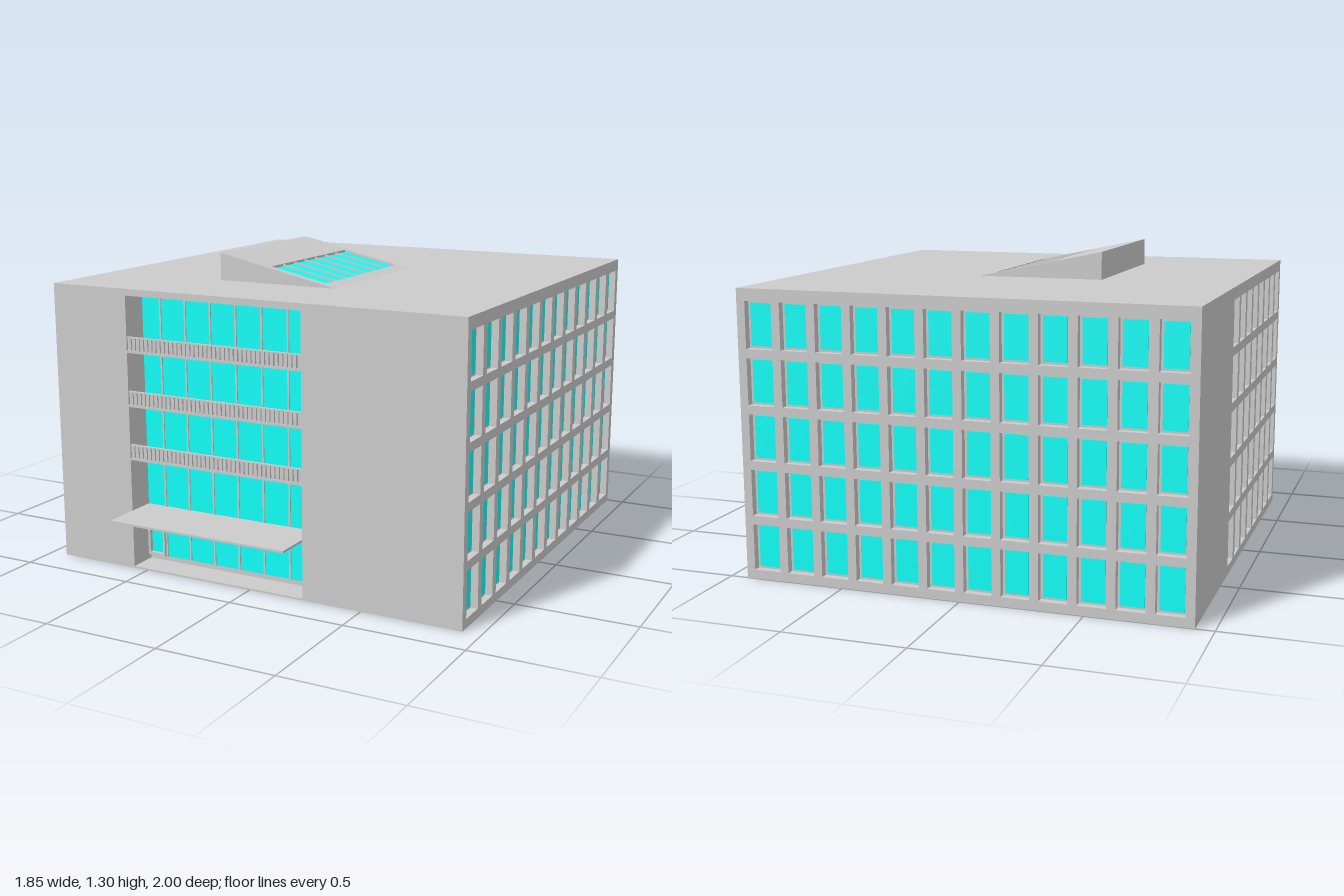
import * as THREE from 'three';
import { mergeGeometries } from 'three/addons/utils/BufferGeometryUtils.js';

const grey = new THREE.MeshStandardMaterial({ color: 0xcccccc });
const cyan = new THREE.MeshStandardMaterial({ color: 0x10fff8 });

const W = 0.925, H = 1.185, BACK = -1, FRONT = 0.85;
const T = 0.03;                       // depth of the window reveals
const X0 = -0.565, X1 = 0.245;        // front recess
const GLASS_Z = 0.73, RECESS_TOP = 1.157;

// Box given by its limits
function box(x0, x1, y0, y1, z0, z1) {
  return new THREE.BoxGeometry(x1 - x0, y1 - y0, z1 - z0)
    .translate((x0 + x1) / 2, (y0 + y1) / 2, (z0 + z1) / 2);
}

function part(parent, name, geometries, material = grey) {
  const mesh = new THREE.Mesh(mergeGeometries(geometries), material);
  mesh.name = name;
  parent.add(mesh);
  return mesh;
}

// Wall pierced by a grid of windows, facing local +z
function windowWall(name, width, firstColumn) {
  const wall = new THREE.Group();
  wall.name = name;
  const shape = new THREE.Shape([
    new THREE.Vector2(-width / 2, 0), new THREE.Vector2(width / 2, 0),
    new THREE.Vector2(width / 2, H), new THREE.Vector2(-width / 2, H),
  ]);
  const panes = [];
  for (let c = firstColumn; c < 12; c++) {
    for (let r = 0; r < 5; r++) {
      const u = -0.832 + c * 0.1513, v = 0.038 + r * 0.2267;
      const a = u - 0.0575, b = u + 0.0575, top = v + 0.19;
      shape.holes.push(new THREE.Path([
        new THREE.Vector2(a, v), new THREE.Vector2(a, top),
        new THREE.Vector2(b, top), new THREE.Vector2(b, v),
      ]));
      panes.push(box(a + 0.01, b - 0.01, v + 0.009, top - 0.009, -0.005, 0.003));
    }
  }
  part(wall, name + 'Panel', [new THREE.ExtrudeGeometry(shape, { depth: T, bevelEnabled: false })]);
  part(wall, name + 'Panes', panes, cyan);
  return wall;
}

// Piece of the sloping skylight housing; drop lowers its upper face
const slopeY = (x) => 1.3 - (x + 0.355) * (0.115 / 0.54);
function slopePrism(x0, x1, z0, z1, drop = 0) {
  const shape = new THREE.Shape([
    new THREE.Vector2(x0, H - 0.02), new THREE.Vector2(x1, H - 0.02),
    new THREE.Vector2(x1, slopeY(x1) - drop), new THREE.Vector2(x0, slopeY(x0) - drop),
  ]);
  return new THREE.ExtrudeGeometry(shape, { depth: z1 - z0, bevelEnabled: false }).translate(0, 0, z0);
}

function createFront() {
  const front = new THREE.Group();
  front.name = 'frontRecess';

  // Solid wall around the recess
  part(front, 'frontWall', [
    box(-W + T, X0, 0, H, GLASS_Z, FRONT),
    box(X1, W - T, 0, H, GLASS_Z, FRONT),
    box(X0, X1, RECESS_TOP, H, GLASS_Z, FRONT),
    box(X0, X1, 0, 0.008, GLASS_Z, FRONT),
  ]);

  // Glazing bands, one per storey
  const bands = [[0.03, 0.237], [0.252, 0.465], [0.482, 0.69], [0.708, 0.917], [0.933, 1.145]];
  part(front, 'glazing', bands.map(([a, b]) => box(X0, X1, a, b, GLASS_Z - 0.01, GLASS_Z + 0.004)), cyan);

  // Mullions
  const mullions = [];
  for (let i = 0; i < 7; i++) {
    const x = -0.475 + i * 0.12;
    for (const [a, b] of bands) {
      mullions.push(box(x - 0.004, Math.min(x + 0.004, X1), a, b, GLASS_Z, GLASS_Z + 0.009));
    }
  }
  part(front, 'mullions', mullions);

  // Entrance door frame
  part(front, 'doorFrame', [
    box(-0.562, -0.552, 0.03, 0.237, GLASS_Z, GLASS_Z + 0.02),
    box(-0.488, -0.478, 0.03, 0.237, GLASS_Z, GLASS_Z + 0.02),
    box(-0.552, -0.488, 0.222, 0.237, GLASS_Z, GLASS_Z + 0.02),
    box(-0.552, -0.488, 0.03, 0.042, GLASS_Z, GLASS_Z + 0.02),
  ]);

  // Canopy over the entrance
  part(front, 'canopy', [box(X0, X1, 0.243, 0.252, GLASS_Z, 1)]);

  // Balcony floors with baluster railings
  const slabs = [], bars = [];
  for (const y of [0.47, 0.696, 0.922]) {
    slabs.push(box(X0, X1, y, y + 0.01, GLASS_Z, FRONT - 0.002));
    bars.push(box(X0, X1, y + 0.061, y + 0.066, FRONT - 0.016, FRONT - 0.004));
    for (let i = 0; i < 40; i++) {
      const x = X0 + (i + 0.5) * (X1 - X0) / 40;
      bars.push(box(x - 0.0075, x + 0.0075, y + 0.01, y + 0.062, FRONT - 0.015, FRONT - 0.005));
    }
  }
  part(front, 'balconyFloors', slabs);
  part(front, 'balconyRailings', bars);
  return front;
}

function createSkylight() {
  const skylight = new THREE.Group();
  skylight.name = 'skylight';
  const za = -0.235, zb = 0.42, xa = -0.13, xb = 0.125;
  part(skylight, 'skylightHousing', [
    slopePrism(-0.355, xa, -0.27, 0.46),
    slopePrism(xb, 0.185, -0.27, 0.46),
    slopePrism(xa, xb, -0.27, za),
    slopePrism(xa, xb, zb, 0.46),
  ]);
  part(skylight, 'skylightGlass', [slopePrism(xa, xb, za, zb, 0.01)], cyan);
  const ribs = [];
  for (let i = 1; i < 7; i++) {
    const z = za + (zb - za) * i / 7;
    ribs.push(slopePrism(xa, xb, z - 0.004, z + 0.004, 0.002));
  }
  part(skylight, 'skylightRibs', ribs);
  return skylight;
}

export function createModel() {
  const model = new THREE.Group();
  model.name = 'officeBuilding';

  // Solid core with roof and base
  part(model, 'core', [box(-W + T, W - T, 0, H, BACK + T, GLASS_Z)]);

  // Window walls: the left one is blank towards the back
  const midZ = (FRONT + BACK) / 2;
  const left = windowWall('leftWall', FRONT - BACK, 0);
  left.position.set(W - T, 0, midZ);
  left.rotation.y = Math.PI / 2;
  const right = windowWall('rightWall', FRONT - BACK, 4);
  right.position.set(-W + T, 0, midZ);
  right.rotation.y = -Math.PI / 2;
  const back = windowWall('backWall', 2 * (W - T), 0);
  back.position.set(0, 0, BACK + T);
  back.rotation.y = Math.PI;

  model.add(left, right, back, createFront(), createSkylight());
  return model;
}
